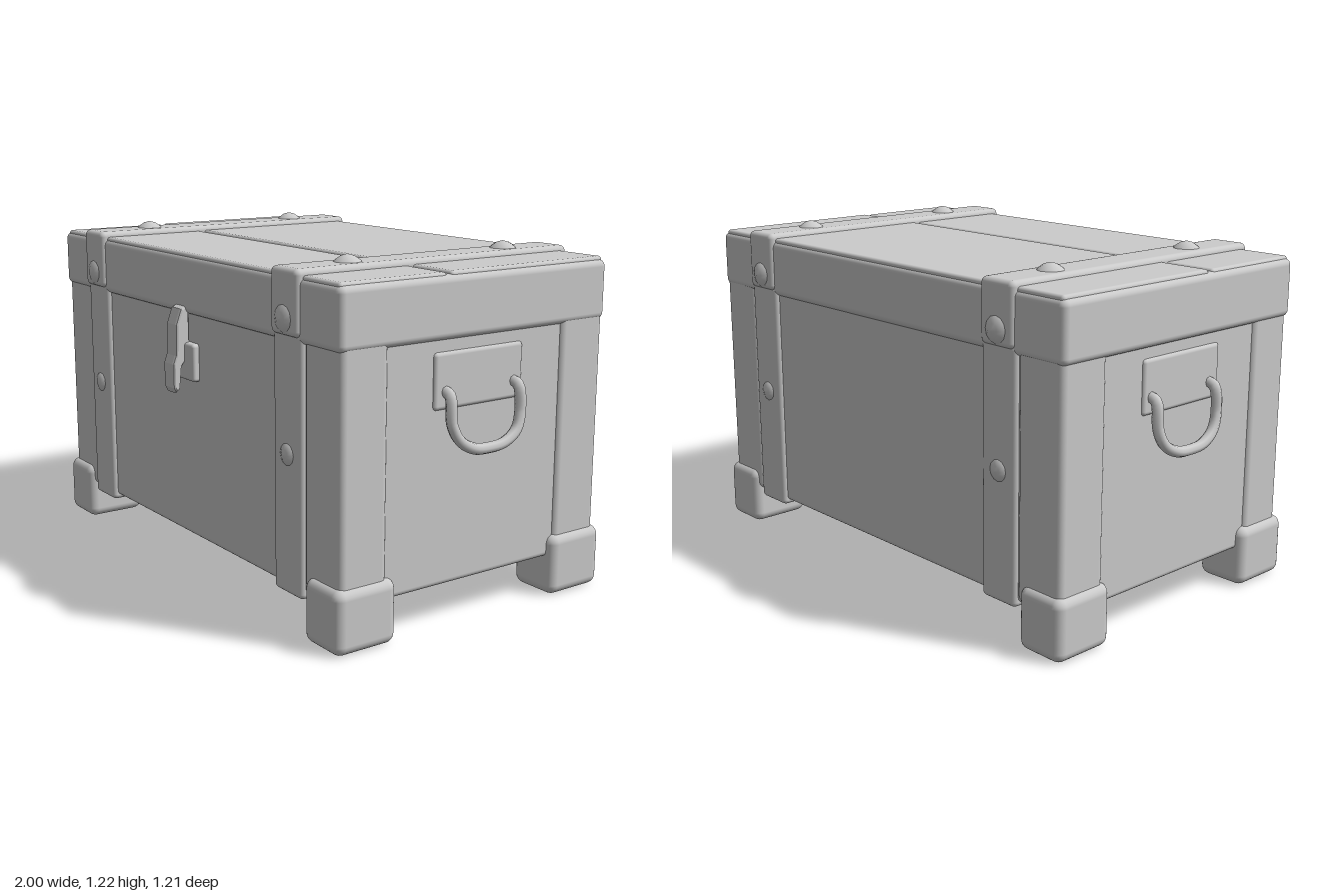
import * as THREE from 'three';
import { RoundedBoxGeometry } from 'three/addons/geometries/RoundedBoxGeometry.js';

const grey = new THREE.MeshStandardMaterial({ color: 0xcccccc });

export function createModel() {
  const model = new THREE.Group();

  const add = (name, geometry) => {
    const mesh = new THREE.Mesh(geometry, grey);
    mesh.name = name;
    model.add(mesh);
    return mesh;
  };

  // Rounded block given by its limits on each axis
  const block = (name, [x0, x1], [y0, y1], [z0, z1], r = 0.02) => {
    const mesh = add(name, new RoundedBoxGeometry(x1 - x0, y1 - y0, z1 - z0, 3, r));
    mesh.position.set((x0 + x1) / 2, (y0 + y1) / 2, (z0 + z1) / 2);
    return mesh;
  };

  // Shallow domed stud facing along a direction
  const stud = (name, position, direction, r = 0.055, h = 0.03) => {
    const profile = [[r, -0.01], [r * 0.8, h * 0.3], [r * 0.4, h * 0.8], [0, h]]
      .map(([a, b]) => new THREE.Vector2(a, b));
    const mesh = add(name, new THREE.LatheGeometry(profile, 12));
    mesh.position.set(...position);
    mesh.quaternion.setFromUnitVectors(new THREE.Vector3(0, 1, 0), new THREE.Vector3(...direction));
  };

  // Chest body and lid
  block('body', [-0.925, 0.925], [0.145, 1.0], [-0.56, 0.537], 0.02);
  block('lid', [-0.945, 0.94], [0.965, 1.172], [-0.575, 0.555], 0.025);

  // Top planks, with a narrow gap between them
  block('rearTopPlank', [-0.93, 0.925], [1.1, 1.182], [-0.565, 0.112], 0.012);
  block('frontTopPlank', [-0.93, 0.925], [1.1, 1.18], [0.128, 0.545], 0.012);

  for (const s of [-1, 1]) {
    const side = s > 0 ? 'left' : 'right';
    const span = (a, b) => (s > 0 ? [a, b] : [-b, -a]);

    // Corner posts and feet
    for (const front of [true, false]) {
      const end = front ? 'Front' : 'Back';
      block(`${side}${end}Post`, span(0.74, 0.936), [0.15, 1.0],
        front ? [0.36, 0.547] : [-0.57, -0.37], 0.025);
      block(`${side}${end}Foot`, span(0.765, 0.955), [0.005, 0.225],
        front ? [0.33, 0.57] : [-0.59, -0.35], 0.035);
    }

    // Bands round the body and over the lid
    block(`${side}BodyBand`, span(0.58, 0.74), [0.128, 1.0], [-0.577, 0.556], 0.018);
    block(`${side}LidBand`, span(0.585, 0.735), [0.985, 1.2], [-0.588, 0.57], 0.02);

    // Studs on the bands
    const x = s * 0.66;
    for (const z of [0.32, -0.35]) stud(`${side}TopStud`, [x, 1.195, z], [0, 1, 0]);
    stud(`${side}LidFrontStud`, [x, 1.04, 0.565], [0, 0, 1], 0.055, 0.02);
    stud(`${side}LidBackStud`, [x, 1.04, -0.583], [0, 0, -1], 0.055, 0.024);
    stud(`${side}BodyFrontStud`, [x, 0.6, 0.552], [0, 0, 1], 0.045, 0.018);
    stud(`${side}BodyBackStud`, [x, 0.58, -0.573], [0, 0, -1], 0.045, 0.018);

    // Handle mount and hanging U-shaped handle
    block(`${side}HandleMount`, span(0.9, 0.934), [0.74, 0.93], [-0.2, 0.18], 0.015);
    const path = [
      [0.915, 0.805, 0.13], [0.955, 0.79, 0.132], [0.967, 0.7, 0.132], [0.975, 0.645, 0.105],
      [0.98, 0.612, 0.05], [0.98, 0.605, -0.015], [0.98, 0.612, -0.08],
      [0.975, 0.645, -0.138], [0.967, 0.7, -0.162], [0.955, 0.79, -0.162], [0.915, 0.805, -0.16],
    ].map(([px, py, pz]) => new THREE.Vector3(s * px, py, pz));
    add(`${side}Handle`, new THREE.TubeGeometry(new THREE.CatmullRomCurve3(path), 48, 0.019, 8));
  }

  // Latch: backing plate and a hasp swept down from the lid
  block('latchPlate', [-0.08, 0.085], [0.73, 0.865], [0.52, 0.562], 0.012);
  const hasp = new THREE.Shape([
    [0.54, 1.0], [0.572, 0.985], [0.592, 0.93], [0.596, 0.82], [0.607, 0.79],
    [0.607, 0.705], [0.597, 0.685], [0.58, 0.7], [0.572, 0.78], [0.54, 0.82],
  ].map(([z, y]) => new THREE.Vector2(-z, y)));
  const haspGeometry = new THREE.ExtrudeGeometry(hasp, {
    depth: 0.05, bevelEnabled: true, bevelThickness: 0.012, bevelSize: 0.008, bevelOffset: -0.008, bevelSegments: 2,
  });
  haspGeometry.translate(0, 0, -0.025).rotateY(Math.PI / 2).translate(-0.01, 0, 0);
  add('hasp', haspGeometry);

  return model;
}
